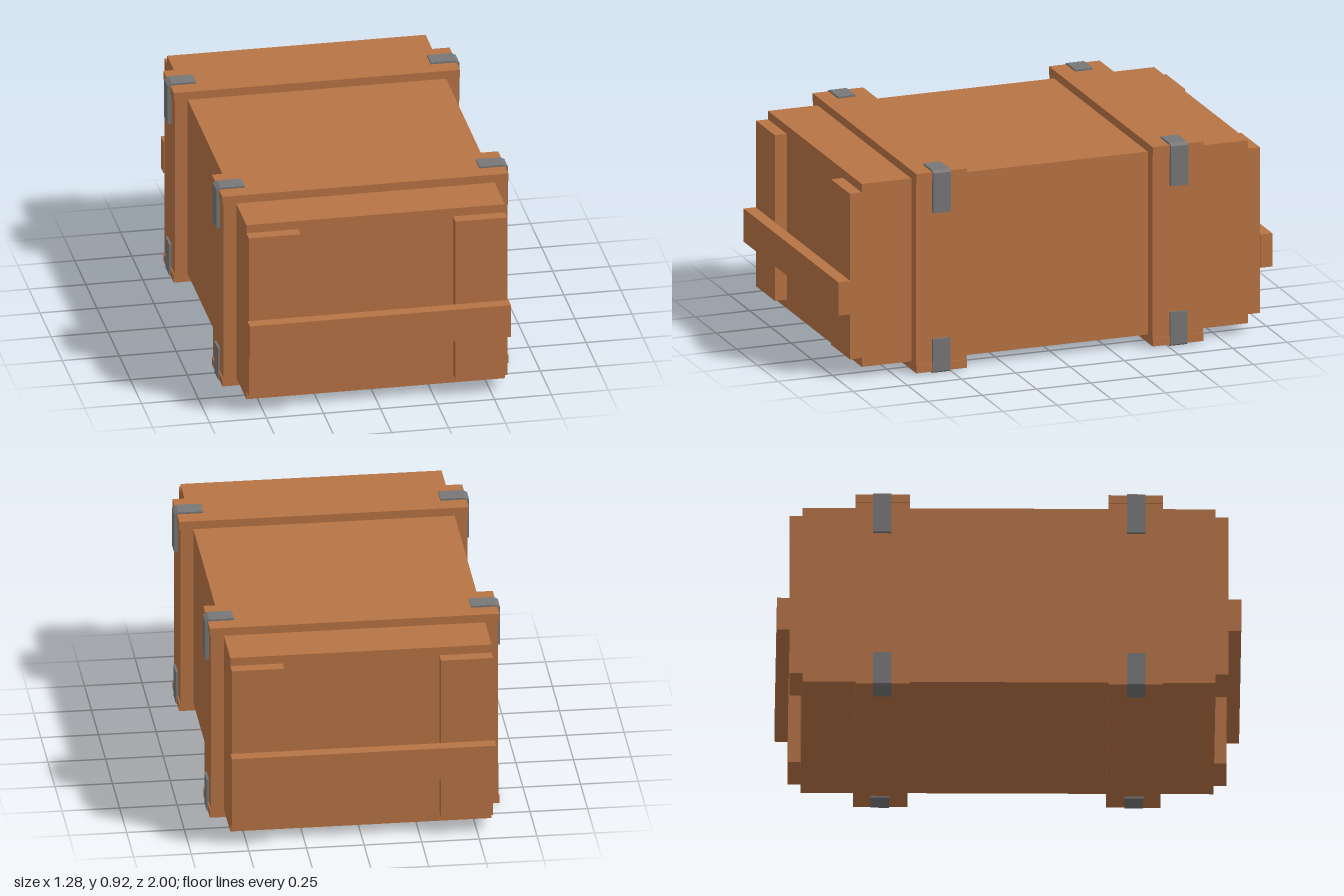
import * as THREE from 'three';

export function createModel() {
  const crate = new THREE.Group();
  crate.name = 'crate';
  const wood = new THREE.MeshStandardMaterial({ color: 0xb87444 });
  wood.name = 'wood';
  const metal = new THREE.MeshStandardMaterial({ color: 0x777777 });
  metal.name = 'metal';

  // Box given by its limits on each axis
  const box = (name, x0, x1, y0, y1, z0, z1) => {
    const mesh = new THREE.Mesh(new THREE.BoxGeometry(x1 - x0, y1 - y0, z1 - z0), wood);
    mesh.name = name;
    mesh.position.set((x0 + x1) / 2, (y0 + y1) / 2, (z0 + z1) / 2);
    return mesh;
  };

  // Corner bracket: bent strip with a chamfered outer corner
  const bracket = (name, points) => {
    const shape = new THREE.Shape(points.map(([x, y]) => new THREE.Vector2(x, y)));
    const geometry = new THREE.ExtrudeGeometry(shape, { depth: 0.08, bevelEnabled: false });
    geometry.translate(0, 0, 0.507);
    const mesh = new THREE.Mesh(geometry, metal);
    mesh.name = name;
    return mesh;
  };

  crate.add(box('body', -0.567, 0.567, 0.045, 0.87, -0.89, 0.89));

  // Each end is the other turned half round
  for (const [name, angle] of [['front', 0], ['back', Math.PI]]) {
    const end = new THREE.Group();
    end.name = name + 'End';
    end.rotation.y = angle;

    // End cleats and carrying bar
    end.add(box('leftCleat', 0.34, 0.567, 0.085, 0.832, 0.89, 0.945));
    end.add(box('rightCleat', -0.567, -0.34, 0.085, 0.832, 0.89, 0.945));
    end.add(box('handleBar', -0.573, 0.573, 0.29, 0.44, 0.945, 1));

    // Band of battens round the body
    end.add(box('topBatten', -0.628, 0.628, 0.87, 0.907, 0.428, 0.662));
    end.add(box('bottomBatten', -0.628, 0.628, 0.008, 0.045, 0.428, 0.662));
    end.add(box('leftBatten', 0.567, 0.623, 0.045, 0.87, 0.428, 0.662));
    end.add(box('rightBatten', -0.623, -0.567, 0.045, 0.87, 0.428, 0.662));

    // Metal brackets on the four corners of the band
    const top = [[0.515, 0.9], [0.62, 0.9], [0.62, 0.725], [0.64, 0.725],
      [0.64, 0.905], [0.622, 0.915], [0.515, 0.915]];
    const bottom = [[0.515, 0], [0.62, 0], [0.633, 0.008], [0.633, 0.155],
      [0.618, 0.155], [0.618, 0.015], [0.515, 0.015]];
    const mirror = (points) => points.map(([x, y]) => [-x, y]);
    end.add(bracket('topLeftBracket', top), bracket('topRightBracket', mirror(top)));
    end.add(bracket('bottomLeftBracket', bottom), bracket('bottomRightBracket', mirror(bottom)));
    crate.add(end);
  }
  return crate;
}
